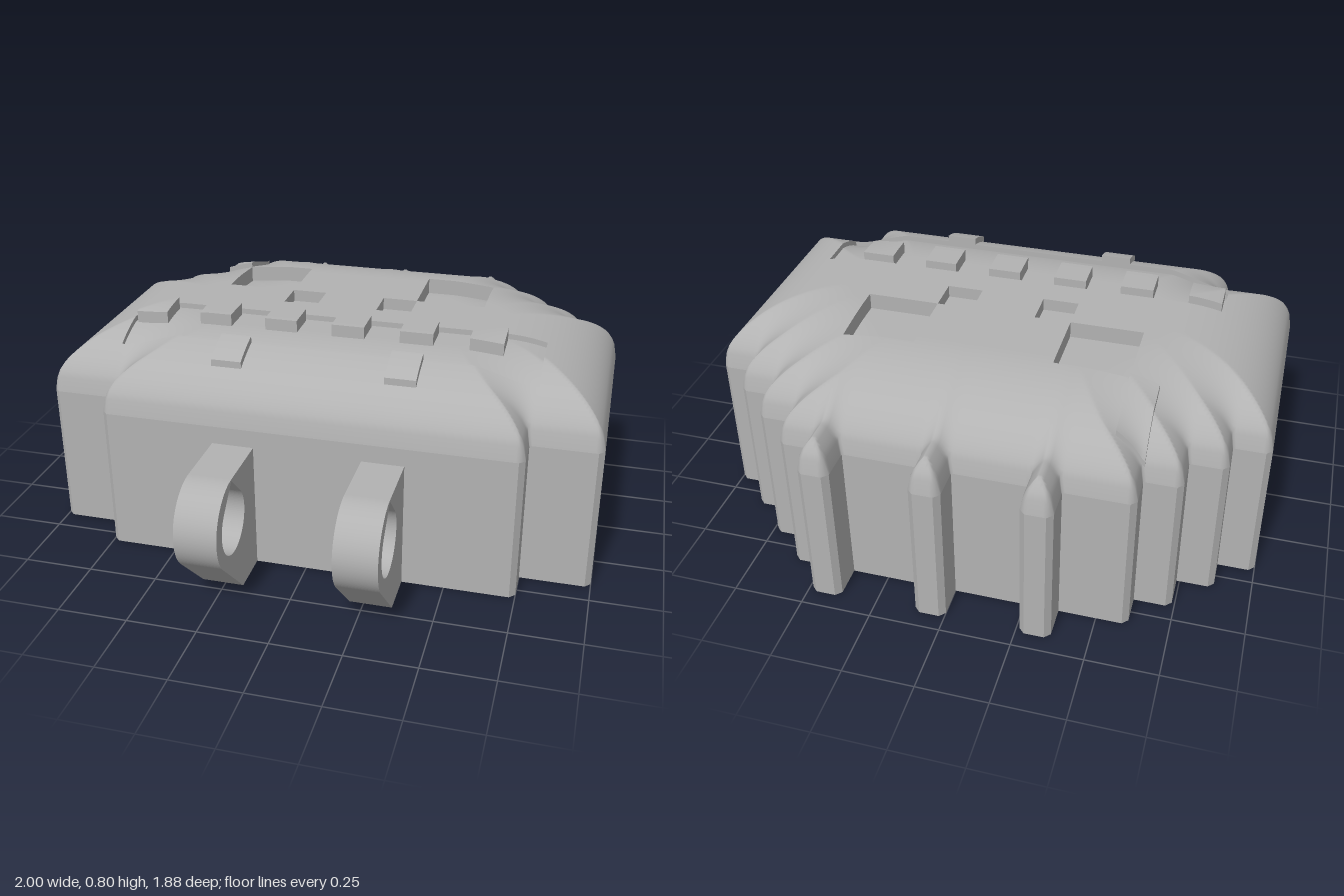
import * as THREE from 'three';

const grey = new THREE.MeshStandardMaterial({ color: 0xb2b2b2, side: THREE.DoubleSide });
grey.name = 'plain grey';

const WALL = 0.53, RISE = 0.245, ROUND = 0.4, CUT = 2;

// Stepped footprint in hundredths of a unit (x, z)
const steps = [[75, 55], [75, 42], [100, 42], [100, -44], [87, -44], [87, -56], [74, -56], [74, -69], [61, -69], [61, -81]];
const corners = [...steps];
for (const [r, l] of [[49, 38], [11, 0], [-26, -37]]) corners.push([r, -81], [r, -94], [l, -94], [l, -81]);
corners.push(...steps.map(([x, z]) => [-x, z]).reverse());

// Chamfer the outward corners only
const outline = corners.flatMap((p, i) => {
  const a = corners.at(i - 1), b = corners[(i + 1) % corners.length];
  const turn = (p[0] - a[0]) * (b[1] - p[1]) - (p[1] - a[1]) * (b[0] - p[0]);
  if (turn >= 0) return [p];
  const toward = (q) => [p[0] + Math.sign(q[0] - p[0]) * CUT, p[1] + Math.sign(q[1] - p[1]) * CUT];
  return [toward(a), toward(b)];
});
const edges = outline.map((p, i) => [p, outline[(i + 1) % outline.length]]);

function inside(x, z) {
  let hit = false;
  for (const [a, b] of edges) {
    if ((a[1] > z) !== (b[1] > z) && x < a[0] + (b[0] - a[0]) * (z - a[1]) / (b[1] - a[1])) hit = !hit;
  }
  return hit;
}

// Dome height: quarter ellipse over the distance to the footprint's edge
function height(x, z) {
  if (!inside(x, z)) return WALL;
  let best = Infinity;
  for (const [a, b] of edges) {
    const ux = b[0] - a[0], uz = b[1] - a[1];
    const t = Math.min(1, Math.max(0, ((x - a[0]) * ux + (z - a[1]) * uz) / (ux * ux + uz * uz)));
    best = Math.min(best, Math.hypot(x - a[0] - ux * t, z - a[1] - uz * t));
  }
  const k = 1 - Math.min(1, best / 100 / ROUND);
  return WALL + RISE * Math.sqrt(1 - k * k);
}

function mesh(name, geometry) {
  const m = new THREE.Mesh(geometry, grey);
  m.name = name;
  return m;
}

function buffer(positions, index) {
  const g = new THREE.BufferGeometry();
  g.setAttribute('position', new THREE.Float32BufferAttribute(positions, 3));
  if (index) g.setIndex(index);
  g.computeVertexNormals();
  return g;
}

// Piece of the dome surface, shifted up or down; keep(x, z) filters triangles
function surface([x0, x1, z0, z1], shift, keep) {
  const nx = x1 - x0 + 1, pos = [], index = [];
  for (let z = z0; z <= z1; z++) for (let x = x0; x <= x1; x++) pos.push(x / 100, height(x, z) + shift, z / 100);
  const y = (i) => pos[i * 3 + 1];
  for (let z = z0; z < z1; z++) for (let x = x0; x < x1; x++) {
    const a = (z - z0) * nx + x - x0, b = a + 1, c = a + nx, d = c + 1;
    const edge = [a, b, c, d].some((i) => y(i) - shift <= WALL + 1e-6);
    const alongAD = edge !== (y(a) + y(d) > y(b) + y(c));
    const tris = alongAD
      ? [[a, c, d, 1 / 3, 2 / 3], [a, d, b, 2 / 3, 1 / 3]]
      : [[a, c, b, 1 / 3, 1 / 3], [b, c, d, 2 / 3, 2 / 3]];
    for (const [p, q, r, u, v] of tris) if (!keep || keep(x + u, z + v)) index.push(p, q, r);
  }
  return buffer(pos, index);
}

// Vertical sides around a rectangular patch, between two shifts of the dome
function rim([x0, x1, z0, z1], low, high) {
  const ring = [], pos = [];
  for (let x = x0; x < x1; x++) ring.push([x, z1]);
  for (let z = z1; z > z0; z--) ring.push([x1, z]);
  for (let x = x1; x > x0; x--) ring.push([x, z0]);
  for (let z = z0; z < z1; z++) ring.push([x0, z]);
  ring.forEach((p, i) => {
    const q = ring[(i + 1) % ring.length];
    const v = ([x, z], s) => [x / 100, height(x, z) + s, z / 100];
    pos.push(...v(p, low), ...v(q, low), ...v(q, high), ...v(p, low), ...v(q, high), ...v(p, high));
  });
  return buffer(pos);
}

function patch(name, rect, shift, base = 0) {
  const g = new THREE.Group();
  g.name = name;
  g.add(mesh(name + 'Face', surface(rect, shift)));
  g.add(mesh(name + 'Sides', rim(rect, Math.min(shift, base), Math.max(shift, base))));
  return g;
}

// Teardrop: round below with a right-angled point on top
function teardrop(path, cx, cy, r) {
  const s = r * Math.SQRT1_2;
  path.moveTo(cx, cy + r * Math.SQRT2);
  path.lineTo(cx - s, cy + s);
  path.absarc(cx, cy, r, Math.PI * 0.75, Math.PI * 2.25, false);
  path.lineTo(cx, cy + r * Math.SQRT2);
  return path;
}

export function createModel() {
  const model = new THREE.Group();
  model.name = 'steppedHousing';

  // Walls and base; the two outer side walls are the plates below
  const wallPos = [];
  for (const [[ax, az], [bx, bz]] of edges) {
    if (Math.abs(ax) === 100 && ax === bx) continue;
    const a = [ax / 100, az / 100], b = [bx / 100, bz / 100];
    const v = (p, y) => [p[0], y, p[1]];
    wallPos.push(...v(a, 0), ...v(b, 0), ...v(b, WALL), ...v(a, 0), ...v(b, WALL), ...v(a, WALL));
  }
  model.add(mesh('walls', buffer(wallPos)));
  const floor = new THREE.ShapeGeometry(new THREE.Shape(outline.map(([x, z]) => new THREE.Vector2(x / 100, z / 100))));
  floor.rotateX(Math.PI / 2);
  model.add(mesh('base', floor));

  // Side plates with blind teardrop sockets
  const depth = 0.3;
  for (const side of [1, -1]) {
    const f = 0.40, b = -0.42;
    const plate = new THREE.Shape([[-f, 0], [-b, 0], [-b, WALL], [-f, WALL]].map(([x, y]) => new THREE.Vector2(x * side, y)));
    plate.holes.push(teardrop(new THREE.Path(), 0, 0.3, 0.113));
    const g = new THREE.ExtrudeGeometry(plate, { depth, bevelEnabled: false, curveSegments: 40 });
    const end = new THREE.ShapeGeometry(teardrop(new THREE.Shape(), 0, 0.3, 0.115), 40);
    for (const [name, geo, x] of [['sidePlate', g, 1 - depth], ['socketEnd', end, 1 - depth + 0.002]]) {
      geo.translate(0, 0, x).rotateY(side * Math.PI / 2);
      model.add(mesh(name, geo));
    }
  }

  // Recesses: two eyes, each with a smaller square, and the mouth
  const eyes = [[-51, -25, -45, -19], [24, 50, -45, -19]];
  const innerEyes = [[-25, -12, -19, -6], [11, 24, -19, -6]];
  const mouth = [-76, 76, 5, 31];
  const holes = [...eyes, ...innerEyes, mouth];
  const keep = (x, z) => !holes.some(([x0, x1, z0, z1]) => x > x0 && x < x1 && z > z0 && z < z1) && inside(x, z);
  model.add(mesh('dome', surface([-100, 100, -94, 55], 0, keep)));
  eyes.forEach((r) => model.add(patch('eyeRecess', r, -0.06)));
  innerEyes.forEach((r) => model.add(patch('innerEyeRecess', r, -0.045)));
  model.add(patch('mouthRecess', mouth, -0.02));

  // Raised teeth, fangs and brow strip
  for (let i = 0; i < 6; i++) {
    const x = -75 + i * 25;
    model.add(patch('tooth', [x, x + 12, 6, 18], 0.025, -0.02));
  }
  for (const x of [-37, 25]) model.add(patch('fang', [x, x + 11, 31, 43], 0.025));
  model.add(patch('browStrip', [-61, -51, -68, -45], 0.02));

  // Front lugs with teardrop eyes
  const lug = new THREE.Shape();
  const r = 0.165, cz = 0.775, cy = 0.3, s = r * Math.SQRT1_2;
  lug.moveTo(0.5, 0);
  lug.lineTo(cz + s - (cy - s), 0);
  lug.lineTo(cz + s, cy - s);
  lug.absarc(cz, cy, r, -Math.PI / 4, Math.PI / 2, false);
  lug.lineTo(0.5, cy + r);
  lug.holes.push(teardrop(new THREE.Path(), cz, cy, 0.113));
  for (const x of [-0.335, 0.2]) {
    const g = new THREE.ExtrudeGeometry(lug, { depth: 0.15, bevelEnabled: false, curveSegments: 40 });
    g.rotateY(-Math.PI / 2).translate(x + 0.15, 0, 0);
    model.add(mesh('frontLug', g));
  }
  return model;
}
